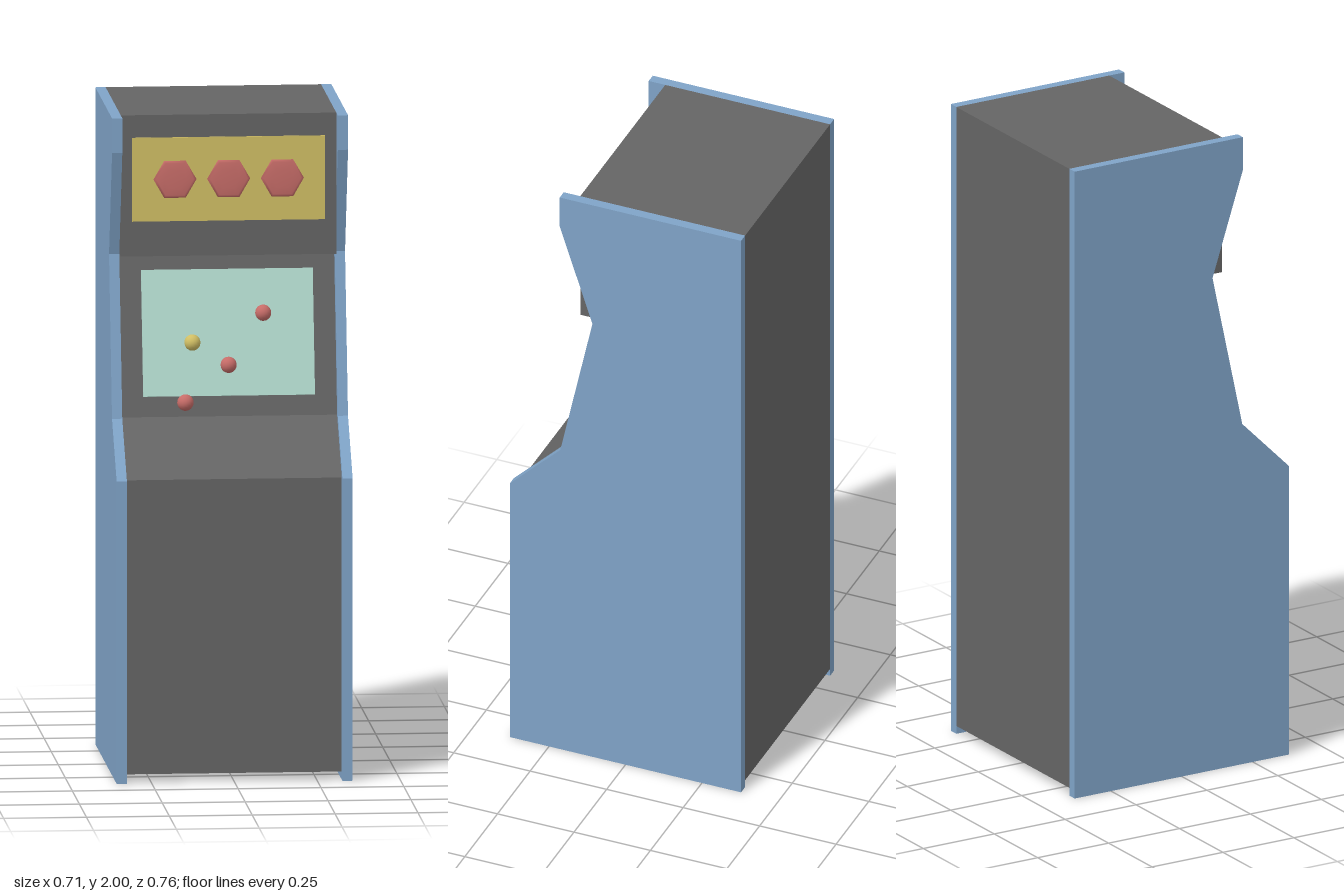
import * as THREE from 'three';

const material = (name, color) => {
  const m = new THREE.MeshStandardMaterial({ color });
  m.name = name;
  return m;
};

// Extrudes a [z, y] side profile across x, from x0 to x1
function profileGeometry(points, x0, x1) {
  const shape = new THREE.Shape(points.map(([z, y]) => new THREE.Vector2(z, y)));
  const geo = new THREE.ExtrudeGeometry(shape, { depth: x1 - x0, bevelEnabled: false });
  return geo.rotateY(-Math.PI / 2).translate(x1, 0, 0);
}

export function createModel() {
  const blue = material('panel blue', 0x7fa3c7);
  const grey = material('cabinet grey', 0x656565);
  const yellow = material('marquee yellow', 0xd0be64);
  const red = material('button red', 0xc66c68);
  const mint = material('screen mint', 0xb3dccf);

  const group = new THREE.Group();
  group.name = 'arcadeCabinet';
  const add = (name, geo, mat, x = 0, y = 0, z = 0) => {
    const mesh = new THREE.Mesh(geo, mat);
    mesh.name = name;
    mesh.position.set(x, y, z);
    group.add(mesh);
    return mesh;
  };

  // Side panels
  const side = [
    [-0.378, 0], [0.378, 0], [0.378, 0.92], [0.213, 1.085],
    [0.108, 1.57], [0.215, 1.895], [0.215, 2], [-0.378, 2],
  ];
  add('leftSidePanel', profileGeometry(side, 0.325, 0.356), blue);
  add('rightSidePanel', profileGeometry(side, -0.356, -0.325), blue);

  // Cabinet body with control slope, screen slope and overhanging marquee box
  const body = [
    [-0.378, 0.025], [0.355, 0.025], [0.355, 0.92], [0.19, 1.085],
    [0.085, 1.57], [0.161, 1.57], [0.161, 2], [-0.378, 2],
  ];
  add('cabinetBody', profileGeometry(body, -0.325, 0.325), grey);

  // Screen plate lying on the sloped face
  const slope = (0.19 - 0.085) / (1.57 - 1.085);
  const bezelZ = (y) => 0.19 - slope * (y - 1.085);
  const screen = add('screen', new THREE.BoxGeometry(0.518, 0.382, 0.008), mint, 0, 1.332, bezelZ(1.332) + 0.003);
  screen.rotation.x = -Math.atan(slope);

  // Round pieces half sunk in the screen
  const ball = new THREE.SphereGeometry(0.025, 16, 12);
  [[0.107, 1.388, red], [-0.108, 1.303, yellow], [0, 1.236, red], [-0.132, 1.127, red]].forEach(
    ([x, y, mat], i) => add('screenBall' + (i + 1), ball, mat, x, y, bezelZ(y) + 0.003));

  // Marquee plate with three shallow hexagonal emblems
  add('marqueePlate', new THREE.BoxGeometry(0.582, 0.255, 0.005), yellow, 0, 1.804, 0.1625);
  const hexagon = new THREE.SphereGeometry(0.065, 6, 6).rotateX(Math.PI / 2).scale(1, 1, 0.09);
  [-0.162, 0, 0.162].forEach((x, i) => add('marqueeHexagon' + (i + 1), hexagon, red, x, 1.804, 0.165));

  return group;
}
